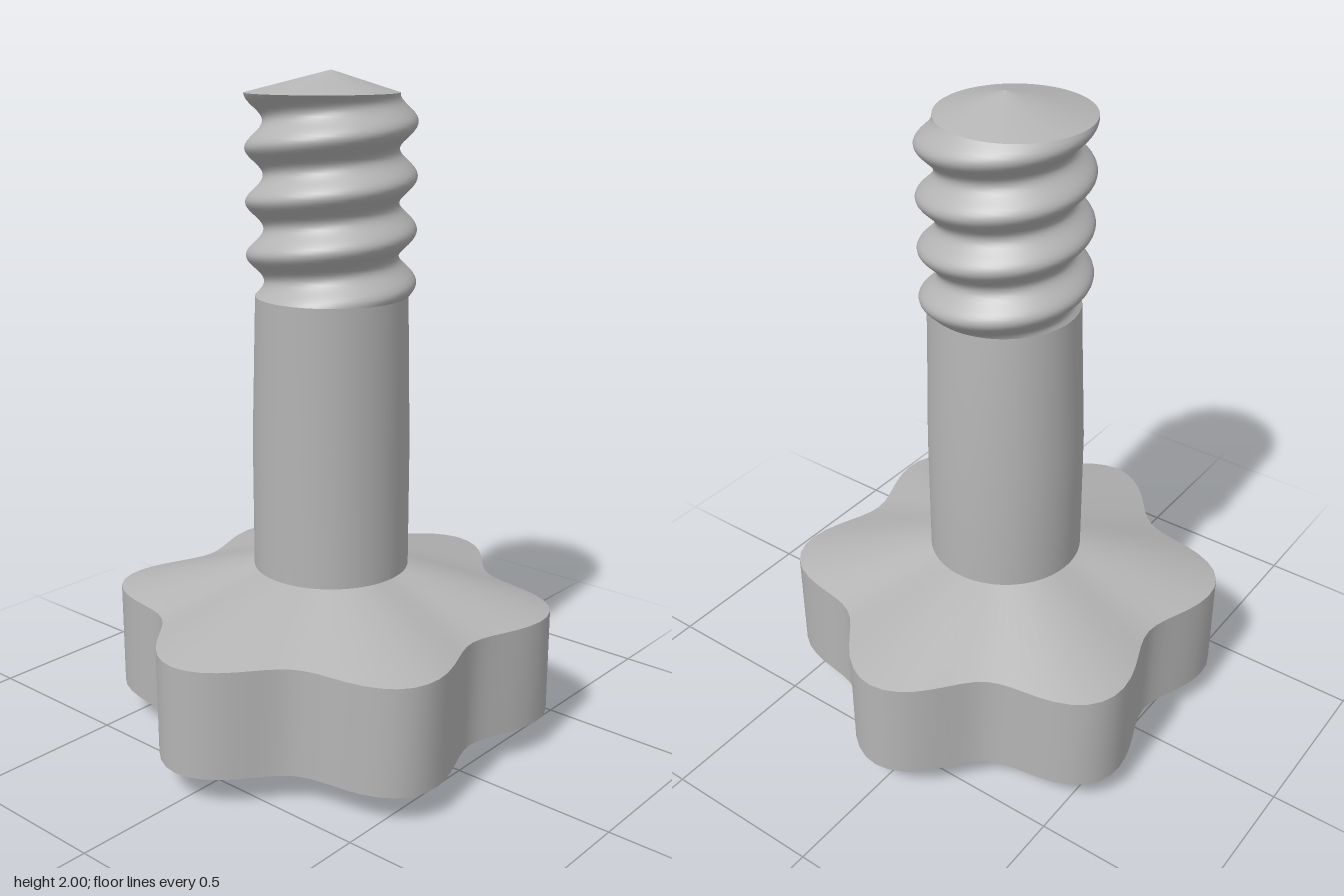
import * as THREE from 'three';

const SEG = 96;

// Skin a stack of closed rings, listed from bottom to top; ring = { y, r(angle) }
function loft(rings) {
  const pos = [], index = [];
  for (const { y, r } of rings) {
    for (let j = 0; j < SEG; j++) {
      const a = (j / SEG) * Math.PI * 2;
      pos.push(r(a) * Math.cos(a), y, -r(a) * Math.sin(a));
    }
  }
  for (let i = 0; i < rings.length - 1; i++) {
    for (let j = 0; j < SEG; j++) {
      const k = (j + 1) % SEG;
      const a = i * SEG + j, b = i * SEG + k, c = b + SEG, d = a + SEG;
      index.push(a, b, c, a, c, d);
    }
  }
  const g = new THREE.BufferGeometry();
  g.setAttribute('position', new THREE.Float32BufferAttribute(pos, 3));
  g.setIndex(index);
  g.computeVertexNormals();
  return g;
}

export function createModel() {
  const group = new THREE.Group();
  const metal = new THREE.MeshStandardMaterial({ color: 0xb4b4b4 });
  metal.name = 'grey metal';

  const add = (name, rings) => {
    const mesh = new THREE.Mesh(loft(rings), metal);
    mesh.name = name;
    group.add(mesh);
  };

  // Ring shapes
  const point = () => 0;
  const round = () => 0.235;
  const lobes = (a) => 0.603 + 0.068 * Math.cos(6 * a);
  const innerLobes = (a) => 0.78 * lobes(a);

  // Six-lobed knob
  add('knobBottom', [{ y: 0, r: point }, { y: 0.06, r: innerLobes }, { y: 0.095, r: lobes }]);
  add('knobSide', [{ y: 0.095, r: lobes }, { y: 0.42, r: lobes }]);
  add('knobTop', [{ y: 0.42, r: lobes }, { y: 0.535, r: round }]);

  // Thread: an off-centre section that turns 3.75 times on its way up
  const threadStart = 1.367, threadEnd = 1.938, turns = 3.75;
  const section = (t) => (a) =>
    0.221 + 0.026 * Math.cos(a - Math.PI * 2 * (t * turns - 0.375));

  // Plain shaft, easing into the first thread section
  add('shaft', [
    { y: 0.535, r: round },
    { y: 0.93, r: round },
    { y: threadStart, r: section(0) },
  ]);

  const thread = [];
  const rows = 60;
  for (let i = 0; i <= rows; i++) {
    const t = i / rows;
    thread.push({ y: THREE.MathUtils.lerp(threadStart, threadEnd, t), r: section(t) });
  }
  add('thread', thread);

  // Shallow conical tip
  add('tip', [{ y: threadEnd, r: section(1) }, { y: 2, r: point }]);

  return group;
}
